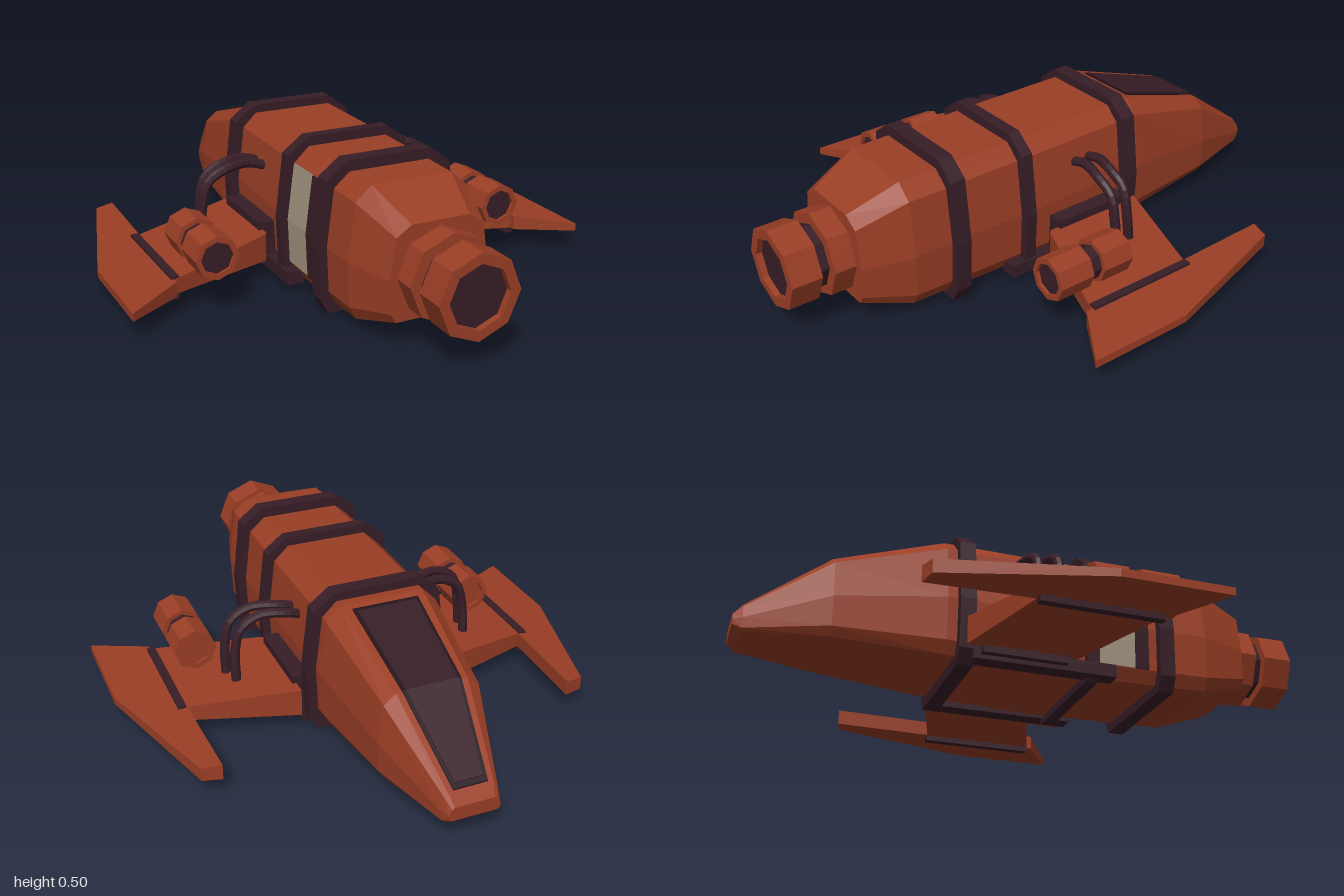
import * as THREE from 'three';

const mat = (color) => new THREE.MeshStandardMaterial({ color, flatShading: true, side: THREE.DoubleSide });
const V = (x, y, z) => new THREE.Vector3(x, y, z);

// Closed solid through a list of equal-length rings; winding is made outward by signed volume.
function loft(rings) {
  const tris = [];
  const n = rings[0].length;
  for (let i = 0; i < rings.length - 1; i++) {
    for (let j = 0; j < n; j++) {
      const k = (j + 1) % n;
      const [a, b, c, d] = [rings[i][j], rings[i][k], rings[i + 1][k], rings[i + 1][j]];
      tris.push([a, b, c], [a, c, d]);
    }
  }
  const first = rings[0], last = rings[rings.length - 1];
  for (let j = 1; j < n - 1; j++) {
    tris.push([first[0], first[j + 1], first[j]], [last[0], last[j], last[j + 1]]);
  }
  const volume = tris.reduce((s, [a, b, c]) => s + a.dot(b.clone().cross(c)), 0);
  const points = tris.flatMap((t) => (volume < 0 ? [t[0], t[2], t[1]] : t));
  const geo = new THREE.BufferGeometry().setFromPoints(points);
  geo.computeVertexNormals();
  return geo;
}

// Ten-sided hull cross-section
function section(z, top, bottom, half, roof) {
  const h = top - bottom;
  const side = [
    [roof, top], [half * 0.89, bottom + h * 0.89], [half, bottom + h * 0.45],
    [half * 0.97, bottom + h * 0.1], [half * 0.86, bottom],
  ];
  return [...side, ...side.map(([x, y]) => [-x, y]).reverse()].map(([x, y]) => V(x, y, z));
}

// Slab from a plan outline [x, z], with thickness varying along x
function slab(plan, s, low, high) {
  return loft([low, high].map((f) => plan.map(([x, z]) => V(s * x, f(x), z))));
}

// z, top, bottom, half width, roof half width
const HULL = [
  [0.78, 0.39, 0.085, 0.17, 0.1],
  [0.61, 0.465, 0.035, 0.22, 0.14],
  [0.1, 0.472, 0.025, 0.222, 0.145],
  [-0.33, 0.475, 0.04, 0.218, 0.145],
  [-0.7, 0.36, 0.062, 0.18, 0.12],
  [-0.97, 0.168, 0.068, 0.098, 0.075],
  [-1.0, 0.135, 0.088, 0.085, 0.066],
];

export function createModel() {
  const model = new THREE.Group();
  const rust = mat(0x9a3e25), dark = mat(0x371d26), pale = mat(0xa39581);
  const add = (parent, name, geo, material) => {
    const mesh = new THREE.Mesh(geo, material);
    mesh.name = name;
    parent.add(mesh);
    return mesh;
  };

  // Hull and its three raised bands
  add(model, 'hull', loft(HULL.map((s) => section(...s))), rust);
  for (const [z, w] of [[-0.268, 0.055], [0.172, 0.042], [0.445, 0.055]]) {
    const ring = (dz) => section(z + dz, 0.503, 0, 0.25, 0.15);
    add(model, 'hullBand', loft([ring(-w / 2), ring(w / 2)]), dark);
  }

  // Cockpit window following the roof slope, with a thin frame
  const strip = (rows, lift) => loft(rows.map(([z, y, w]) => [
    V(-w, y + lift, z), V(w, y + lift, z), V(w, y - 0.02, z), V(-w, y - 0.02, z),
  ]));
  add(model, 'windowFrame', strip([[-0.355, 0.467, 0.115], [-0.7, 0.36, 0.099], [-0.966, 0.171, 0.057]], 0.004), mat(0x24131a));
  add(model, 'window', strip([[-0.37, 0.4626, 0.103], [-0.7, 0.36, 0.088], [-0.952, 0.181, 0.047]], 0.007), dark);

  // Side hatch on the right flank: pale panel and dark jamb
  const hatch = (z0, z1, lift) => {
    const ring = (z) => {
      const edge = [[0.197, 0.42], [0.222, 0.228], [0.2155, 0.075]];
      return [...edge.map(([x, y]) => V(-x - lift, y, z)), ...edge.map(([x, y]) => V(-x + 0.02, y, z)).reverse()];
    };
    return loft([ring(z0), ring(z1)]);
  };
  add(model, 'hatchPanel', hatch(0.19, 0.335, 0.003), pale);
  add(model, 'hatchJamb', hatch(0.335, 0.385, 0.006), dark);

  // Eight-sided thruster: two collars, dark waist, recessed nozzle disc, along +z
  function thruster(name, r, z0, z1, z2, z3, rRear) {
    const g = new THREE.Group();
    g.name = name;
    const turned = (part, pts, material) => add(g, part, new THREE.LatheGeometry(
      pts.map(([x, y]) => new THREE.Vector2(x, y)), 8).rotateX(Math.PI / 2), material);
    const inner = r * 0.75, lip = r * 0.15;
    turned('frontCollar', [[0, z0 + lip], [inner, z0 + lip], [inner, z0], [rRear, z0], [rRear, z1], [0, z1]], rust);
    turned('waist', [[r * 0.78, z1], [r * 0.78, z2]], dark);
    turned('nozzle', [[0, z2], [r, z2], [r, z3], [inner, z3], [inner, z3 - lip]], rust);
    turned('nozzleDisc', [[0, z3 - lip], [inner, z3 - lip]], dark);
    return g;
  }
  const mainEngine = thruster('mainEngine', 0.139, 0.76, 0.855, 0.895, 1.0, 0.146);
  mainEngine.position.y = 0.228;
  model.add(mainEngine);

  for (const s of [1, -1]) {
    const wing = new THREE.Group();
    wing.name = s > 0 ? 'leftWing' : 'rightWing';
    model.add(wing);

    // Inner panel, joint strip and swept outer blade
    const low = (x) => 0.055 + (x - 0.27) * 0.02;
    const high = (x) => 0.152 - (x - 0.27) * 0.105;
    add(wing, 'wingPanel', slab([[0.2, -0.275 - 0.02], [0.64, -0.165], [0.64, 0.245], [0.27, 0.11], [0.2, 0.085]]
      .map(([x, z]) => [Math.max(x, 0.262), x < 0.25 ? (z < 0 ? -0.275 : 0.1) : z]), s, low, high), rust);
    add(wing, 'wingJoint', slab([[0.628, -0.17], [0.656, -0.17], [0.656, 0.24], [0.628, 0.24]], s,
      () => 0.042, () => 0.12), dark);
    add(wing, 'wingBlade', slab([[0.615, -0.52], [0.68, -0.505], [0.83, 0.015], [0.83, 0.385], [0.645, 0.265], [0.625, -0.16]],
      s, low, high), rust);

    // Wing root fairing and lower rail
    const root = (x) => [[0.18, -0.225], [0.18, 0.07], [0.03, 0.07], [0.03, -0.225]].map(([y, z]) => V(s * x, y, z));
    add(wing, 'rootFairing', loft([root(0.2), root(0.275)]), dark);
    const rail = new THREE.BoxGeometry(0.06, 0.045, 0.5);
    add(wing, 'rootRail', rail, dark).position.set(s * 0.222, 0.037, 0);

    // Wing thruster
    const pod = thruster('wingThruster', 0.074, 0.04, 0.155, 0.2, 0.33, 0.074);
    pod.position.set(s * 0.53, 0.195, 0);
    wing.add(pod);

    // Pair of hoses from hull to wing
    for (const [x, z0, z1] of [[0, -0.105, -0.088], [0.015, -0.045, -0.022]]) {
      const path = new THREE.CatmullRomCurve3([
        V(s * 0.19, 0.34, z0), V(s * 0.26, 0.36, z0), V(s * (0.34 + x), 0.357, z1), V(s * (0.405 + x), 0.32, z1),
        V(s * (0.428 + x), 0.24, z1), V(s * (0.432 + x), 0.12, z1 - 0.012),
      ]);
      add(wing, 'hose', new THREE.TubeGeometry(path, 18, 0.017, 8), dark);
    }
  }
  return model;
}
